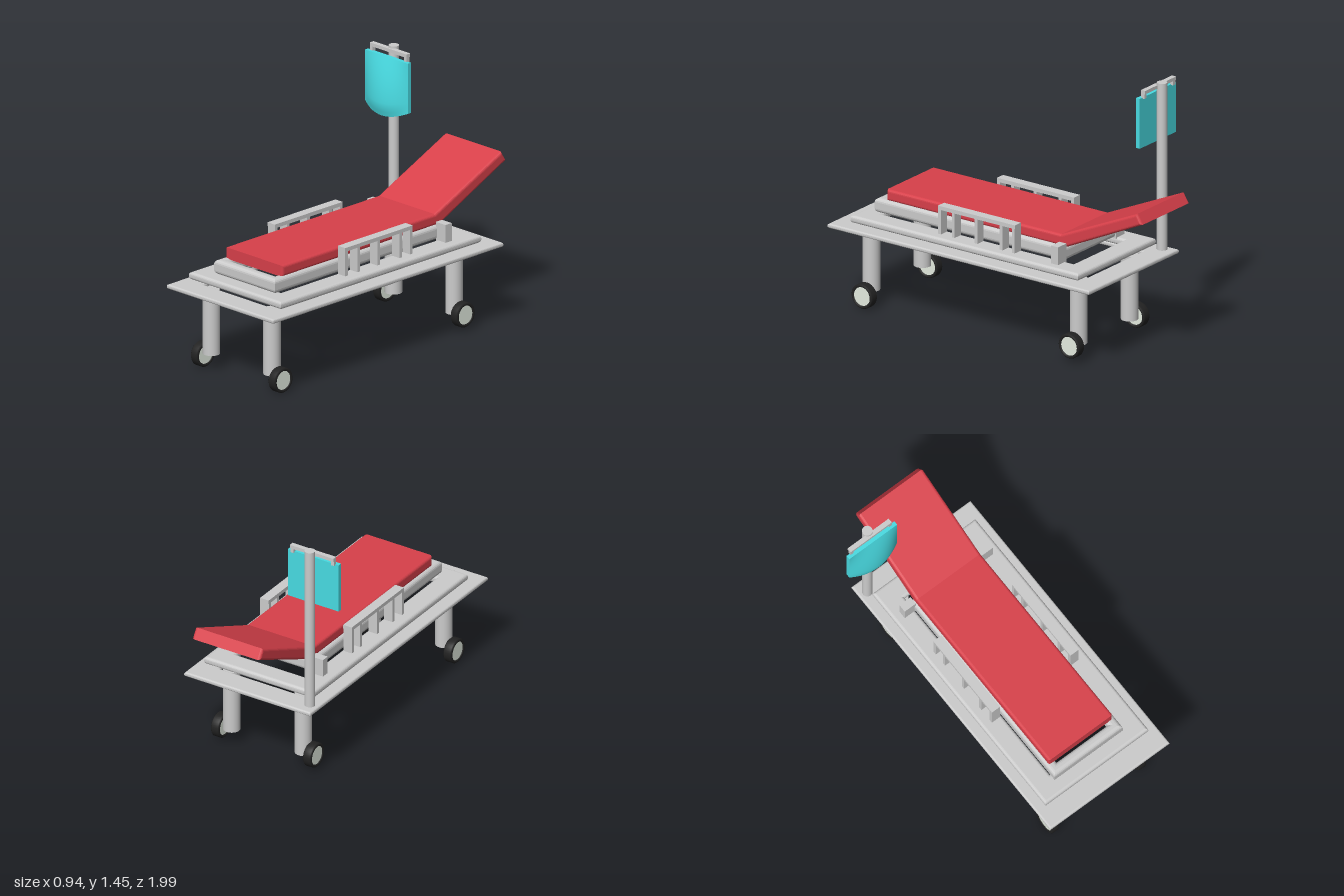
import * as THREE from 'three';

const mat = (color, extra = {}) => new THREE.MeshStandardMaterial({ color, ...extra });
const grey = mat(0xcccccc);
const red = mat(0xd8404a);
const cyan = mat(0x48dbe2);
const black = mat(0x222222);
const white = mat(0xe4ece0);

function add(parent, name, geometry, material, x = 0, y = 0, z = 0) {
  const mesh = new THREE.Mesh(geometry, material);
  mesh.name = name;
  mesh.position.set(x, y, z);
  parent.add(mesh);
  return mesh;
}

const bar = (parent, name, x0, x1, y0, y1, z0, z1) =>
  add(parent, name, new THREE.BoxGeometry(x1 - x0, y1 - y0, z1 - z0), grey,
    (x0 + x1) / 2, (y0 + y1) / 2, (z0 + z1) / 2);

const rect = (Type, x0, x1, z0, z1) => new Type([
  [x0, -z1], [x1, -z1], [x1, -z0], [x0, -z0],
].map(([x, y]) => new THREE.Vector2(x, y)));

// Flat rectangular ring with softened edges
function frame(parent, name, [x0, x1], [z0, z1], [y0, y1], border, bevel) {
  const shape = rect(THREE.Shape, x0, x1, z0, z1);
  shape.holes.push(rect(THREE.Path, x0 + border, x1 - border, z0 + border, z1 - border));
  const geo = new THREE.ExtrudeGeometry(shape, {
    depth: y1 - y0 - 2 * bevel, bevelThickness: bevel, bevelSize: bevel,
    bevelOffset: -bevel, bevelSegments: 4,
  });
  geo.translate(0, 0, bevel).rotateX(-Math.PI / 2);
  add(parent, name, geo, grey, 0, y0, 0);
}

// Mattress with raised backrest, drawn as a side profile
function mattress(parent) {
  const profile = new THREE.Shape([
    [-0.74, 0.62], [0.48, 0.62], [0.99, 0.86], [0.955, 0.917], [0.44, 0.685], [-0.74, 0.685],
  ].map(([a, y]) => new THREE.Vector2(a, y)));
  const b = 0.015;
  const geo = new THREE.ExtrudeGeometry(profile, {
    depth: 0.44 - 2 * b, bevelThickness: b, bevelSize: b, bevelOffset: -b, bevelSegments: 4,
  });
  geo.translate(0, 0, b).rotateY(Math.PI / 2);
  add(parent, 'mattress', geo, red, -0.165, 0, 0);
}

// Fluid bag: flat back, front bulging toward the bottom
function fluidBag(parent) {
  const geo = new THREE.BoxGeometry(0.33, 0.29, 0.025, 16, 14, 1);
  const p = geo.attributes.position;
  for (let i = 0; i < p.count; i++) {
    const u = p.getX(i) / 0.165;
    const v = 0.5 - p.getY(i) / 0.29; // 0 at the top, 1 at the bottom
    const round = 1 - u * u;
    if (p.getZ(i) > 0) {
      const belly = Math.sin(Math.PI * 0.5 * Math.min(1, v / 0.85)) - Math.max(0, v - 0.85) * 2;
      p.setZ(i, p.getZ(i) + 0.055 * round * belly);
      p.setY(i, p.getY(i) - 0.04 * round * v * v);
    }
  }
  geo.computeVertexNormals();
  add(parent, 'fluidBag', geo, cyan, -0.305, 1.255, -0.657);
}

export function createModel() {
  const model = new THREE.Group();
  model.name = 'hospitalStretcher';

  // Stacked frames
  frame(model, 'baseFrame', [-0.355, 0.465], [-0.775, 1], [0.46, 0.486], 0.14, 0.01);
  frame(model, 'middleFrame', [-0.3, 0.41], [-0.66, 0.885], [0.5, 0.542], 0.125, 0.016);
  frame(model, 'bedFrame', [-0.18, 0.29], [-0.48, 0.81], [0.542, 0.624], 0.06, 0.022);
  mattress(model);

  // Legs and wheels, mirrored about the bed's centre line
  const cx = 0.055;
  for (const side of [-1, 1]) {
    for (const [end, z, wheelY] of [['front', 0.833, 0.072], ['back', -0.572, 0.095]]) {
      const bottom = 0.09;
      add(model, end + 'Leg', new THREE.CylinderGeometry(0.048, 0.048, 0.465 - bottom, 32),
        grey, cx + side * 0.233, (0.465 + bottom) / 2, z);
      const wheel = new THREE.Group();
      wheel.name = end + 'Wheel';
      wheel.position.set(cx + side * 0.299, wheelY, z);
      wheel.rotation.z = Math.PI / 2;
      const tyre = [[0.053, -0.02], [0.056, -0.026], [0.066, -0.026], [0.071, -0.02],
        [0.071, 0.02], [0.066, 0.026], [0.056, 0.026], [0.053, 0.02], [0.053, -0.02]]
        .map(([r, y]) => new THREE.Vector2(r, y));
      add(wheel, 'tyre', new THREE.LatheGeometry(tyre, 36), black);
      add(wheel, 'hub', new THREE.CylinderGeometry(0.054, 0.054, 0.042, 36), white);
      model.add(wheel);
    }

    // Side rail
    const rail = new THREE.Group();
    rail.name = side > 0 ? 'leftRail' : 'rightRail';
    const rx = cx + side * 0.27;
    bar(rail, 'railTop', rx - 0.028, rx + 0.028, 0.683, 0.705, -0.188, 0.334);
    for (const z of [-0.177, -0.095, 0.075, 0.23, 0.323])
      bar(rail, 'railPost', rx - 0.028, rx + 0.028, 0.535, 0.69, z - 0.01, z + 0.01);
    model.add(rail);

    // Hinge block beside the backrest
    const hx = cx + side * 0.265;
    bar(model, 'hingeBlock', hx - 0.038, hx + 0.038, 0.535, 0.645, -0.485, -0.437);
  }

  // Drip stand
  add(model, 'dripPole', new THREE.CylinderGeometry(0.029, 0.029, 0.975, 32), grey, -0.303, 0.9675, -0.7);
  bar(model, 'hangerBar', -0.448, -0.165, 1.423, 1.443, -0.688, -0.66);
  for (const x of [-0.438, -0.175])
    bar(model, 'hangerHook', x - 0.01, x + 0.01, 1.395, 1.43, -0.682, -0.66);
  fluidBag(model);

  return model;
}
